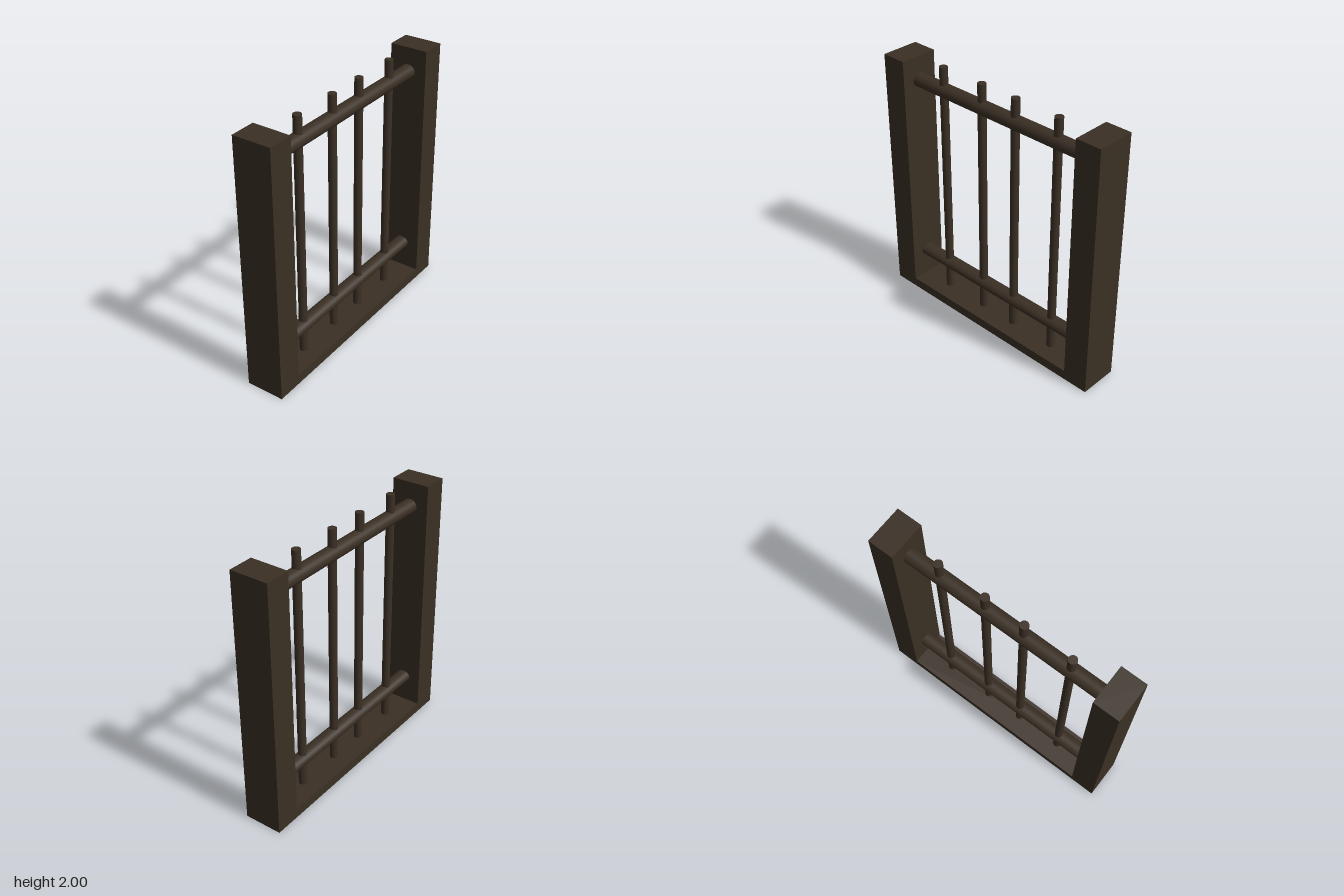
import * as THREE from 'three';

export function createModel() {
  const gate = new THREE.Group();
  gate.name = 'barredGate';
  const wood = new THREE.MeshStandardMaterial({ color: 0x3a2f24 });

  const add = (name, geometry, x, y, z = 0) => {
    const mesh = new THREE.Mesh(geometry, wood);
    mesh.name = name;
    mesh.position.set(x, y, z);
    gate.add(mesh);
    return mesh;
  };

  // Square side posts
  for (const [side, s] of [['left', 1], ['right', -1]]) {
    add(`${side}Post`, new THREE.BoxGeometry(0.2, 2, 0.3), s * 0.9, 1);
  }

  // Sill between the posts
  add('sill', new THREE.BoxGeometry(1.6, 0.075, 0.3), 0, 0.0375);

  // Slightly flattened round rails
  const rail = (name, y, ry, rz) => {
    const geometry = new THREE.CylinderGeometry(1, 1, 1.6, 32).rotateZ(Math.PI / 2);
    add(name, geometry.scale(1, ry, rz), 0, y);
  };
  rail('upperRail', 1.815, 0.053, 0.059);
  rail('lowerRail', 0.302, 0.046, 0.059);

  // Upright bars from the sill to the top
  [-0.54, -0.16, 0.155, 0.537].forEach((x, i) => {
    add(`bar${i + 1}`, new THREE.CylinderGeometry(0.032, 0.032, 1.93, 32), x, 1.035);
  });

  return gate;
}
